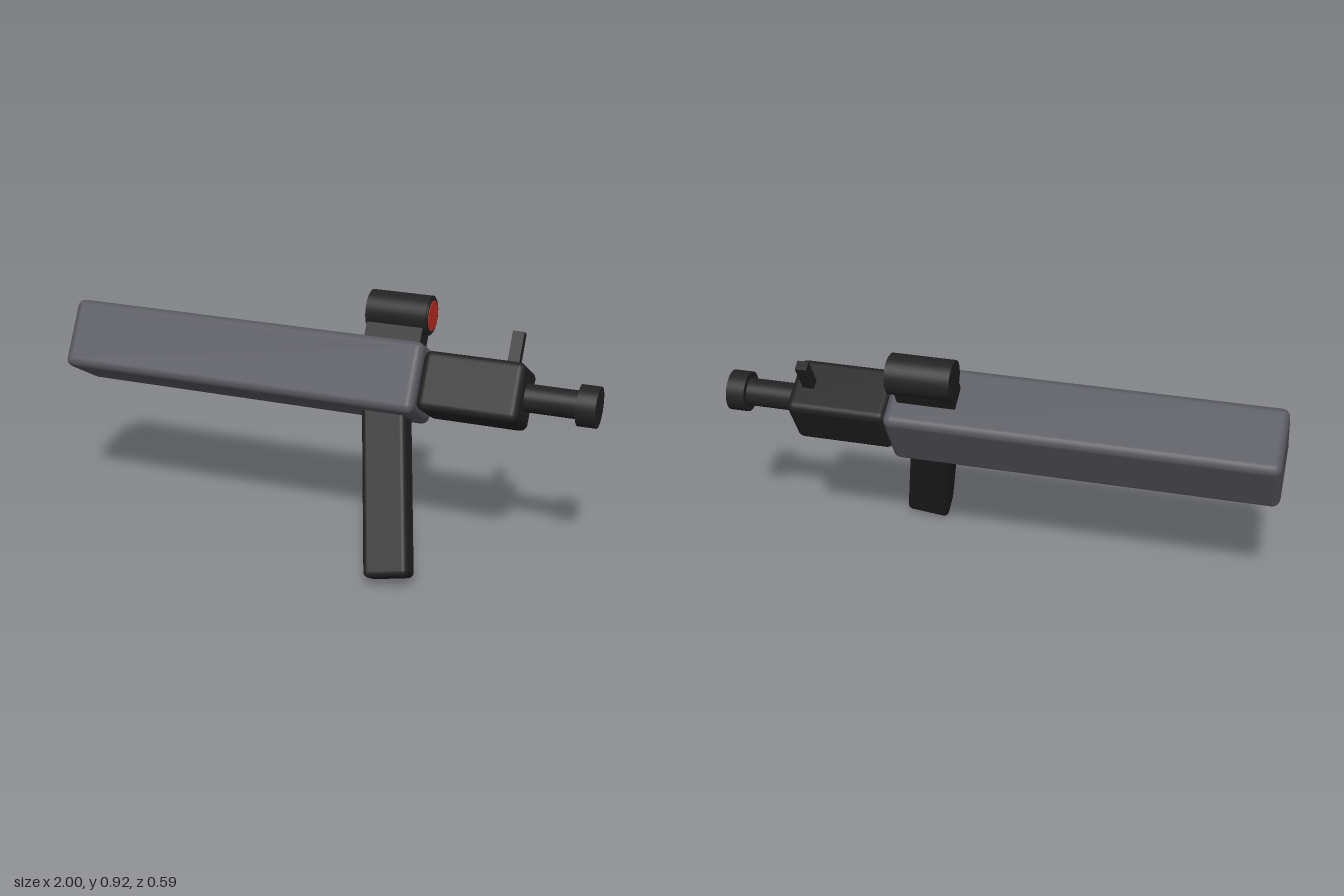
import * as THREE from 'three';
import { RoundedBoxGeometry } from 'three/addons/geometries/RoundedBoxGeometry.js';

function material(name, color) {
  const m = new THREE.MeshStandardMaterial({ color });
  m.name = name;
  return m;
}

export function createModel() {
  const grey = material('slate grey', 0x57575f);
  const black = material('matte black', 0x222222);
  const red = material('lens red', 0xc62d22);

  // Everything is built upright along x, then rolled about its long axis
  const model = new THREE.Group();
  model.name = 'launcher';
  const rolled = new THREE.Group();
  rolled.name = 'rolledAssembly';
  rolled.position.set(0, 0.635, -0.0975);
  rolled.rotation.x = -Math.PI / 6;
  model.add(rolled);

  function add(name, geometry, mat, x, y) {
    const mesh = new THREE.Mesh(geometry, mat);
    mesh.name = name;
    mesh.position.set(x, y, 0);
    rolled.add(mesh);
    return mesh;
  }

  // Cylinder lying along x from x0 to x1
  function rod(name, mat, x0, x1, radius, y) {
    const geometry = new THREE.CylinderGeometry(radius, radius, x1 - x0, 40);
    geometry.rotateZ(-Math.PI / 2);
    return add(name, geometry, mat, (x0 + x1) / 2, y);
  }

  // Long body and the narrower front block
  add('body', new RoundedBoxGeometry(1.38, 0.26, 0.26, 3, 0.029), grey, -0.31, 0);
  add('frontBlock', new RoundedBoxGeometry(0.365, 0.215, 0.215, 3, 0.027), black, 0.5625, 0);

  // Barrel and muzzle
  rod('barrel', black, 0.73, 0.94, 0.05, 0);
  rod('muzzle', black, 0.932, 1, 0.073, 0);

  // Grip, raked forward at the bottom
  const grip = add('grip', new RoundedBoxGeometry(0.162, 0.62, 0.11, 3, 0.02), black, 0.308, -0.396);
  grip.rotation.z = 0.2;

  // Scope on its mount
  add('scopeMount', new THREE.BoxGeometry(0.21, 0.1, 0.088), black, 0.235, 0.155);
  rod('scopeTube', black, 0.125, 0.351, 0.072, 0.248);
  rod('scopeRim', black, 0.35, 0.356, 0.065, 0.248);
  rod('scopeLens', red, 0.35, 0.358, 0.055, 0.248);

  // Front sight post
  add('frontSight', new THREE.BoxGeometry(0.042, 0.14, 0.036), black, 0.68, 0.157);

  return model;
}
